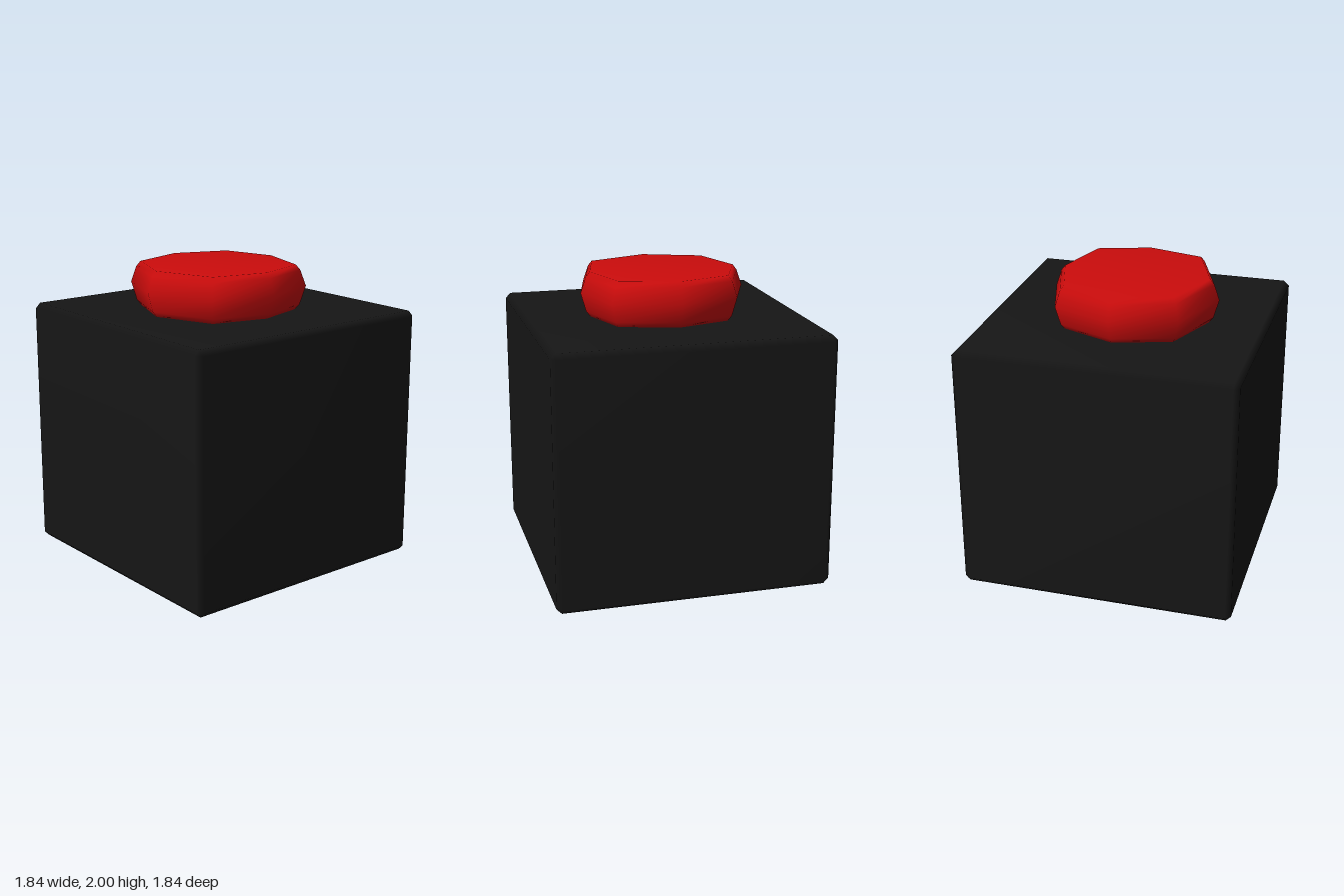
import * as THREE from 'three';
import { ConvexGeometry } from 'three/addons/geometries/ConvexGeometry.js';
import { mergeVertices } from 'three/addons/utils/BufferGeometryUtils.js';

// Box with chamfered edges and softly blended normals
function chamferedBox(w, h, d, c) {
  const half = [w / 2, h / 2, d / 2];
  const points = [];
  for (const sx of [-1, 1]) for (const sy of [-1, 1]) for (const sz of [-1, 1]) {
    for (let axis = 0; axis < 3; axis++) {
      const p = half.map((v, i) => (i === axis ? v : v - c));
      points.push(new THREE.Vector3(p[0] * sx, p[1] * sy, p[2] * sz));
    }
  }
  let geometry = new ConvexGeometry(points);
  geometry.deleteAttribute('normal');
  geometry = mergeVertices(geometry, 1e-4);
  geometry.computeVertexNormals();
  return geometry;
}

// Closed loft: one outline (clockwise from above) scaled about its centre at each [scale, y]
function loft(outline, [cx, cz], profile) {
  const n = outline.length;
  const positions = [];
  const index = [];
  for (const [s, y] of profile) {
    for (const [x, z] of outline) positions.push(cx + (x - cx) * s, y, cz + (z - cz) * s);
  }
  const last = (profile.length - 1) * n;
  const bottom = profile.length * n;
  const top = bottom + 1;
  positions.push(cx, profile[0][1], cz, cx, profile[profile.length - 1][1], cz);
  for (let i = 0; i < n; i++) {
    const j = (i + 1) % n;
    for (let k = 0; k < last; k += n) {
      index.push(k + j, k + i, k + n + i, k + j, k + n + i, k + n + j);
    }
    index.push(top, last + j, last + i, bottom, i, j);
  }
  const geometry = new THREE.BufferGeometry();
  geometry.setAttribute('position', new THREE.Float32BufferAttribute(positions, 3));
  geometry.setIndex(index);
  geometry.computeVertexNormals();
  return geometry;
}

export function createModel() {
  const group = new THREE.Group();
  group.name = 'pushButtonBox';

  // Dark housing
  const housing = new THREE.Mesh(
    chamferedBox(1.835, 1.7, 1.835, 0.035),
    new THREE.MeshStandardMaterial({ color: 0x161616 })
  );
  housing.name = 'housing';
  housing.position.y = 0.85;
  group.add(housing);

  // Red button: slightly uneven octagon, bulging at mid height
  const outline = [
    [-0.01, -0.57], [0.39, -0.41], [0.51, -0.01], [0.38, 0.42],
    [-0.01, 0.545], [-0.43, 0.44], [-0.6, -0.01], [-0.43, -0.44],
  ];
  const profile = [[0.885, 1.7], [0.935, 1.735], [1, 1.86], [0.935, 1.965], [0.885, 2]];
  const button = new THREE.Mesh(
    loft(outline, [-0.04, -0.015], profile),
    new THREE.MeshStandardMaterial({ color: 0xcc0c0c })
  );
  button.name = 'button';
  group.add(button);

  return group;
}
